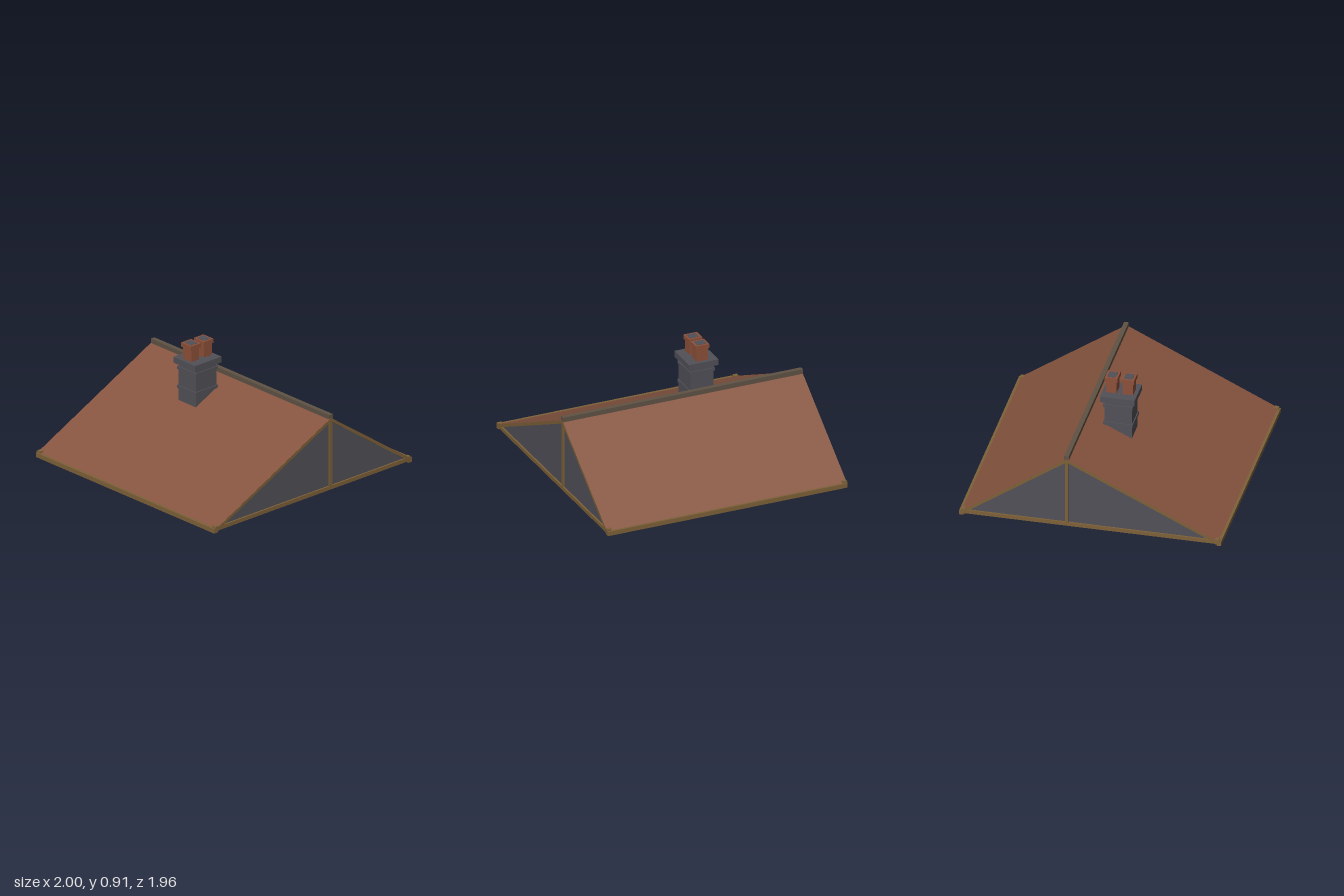
import * as THREE from 'three';

const mat = (name, color) => Object.assign(new THREE.MeshStandardMaterial({ color }), { name });

export function createModel() {
  const root = new THREE.Group();
  root.name = 'gableRoof';
  const tile = mat('roof tile red', 0x86543f);
  const slate = mat('slate grey', 0x515057);
  const timber = mat('timber brown', 0x7d6038);
  const ridge = mat('ridge brown', 0x5f5244);
  const clay = mat('clay pot red', 0x8c5039);
  tile.side = slate.side = THREE.DoubleSide;

  const add = (name, geometry, material) => {
    const mesh = new THREE.Mesh(geometry, material);
    mesh.name = name;
    root.add(mesh);
    return mesh;
  };
  // Box given by its minimum and maximum on each axis
  const box = (name, material, x0, x1, y0, y1, z0, z1) => {
    const m = add(name, new THREE.BoxGeometry(x1 - x0, y1 - y0, z1 - z0), material);
    m.position.set((x0 + x1) / 2, (y0 + y1) / 2, (z0 + z1) / 2);
    return m;
  };
  // Polygon in the xy plane, extruded between z0 and z1
  const prism = (name, material, points, z0, z1) => {
    const shape = new THREE.Shape(points.map(([x, y]) => new THREE.Vector2(x, y)));
    const g = new THREE.ExtrudeGeometry(shape, { depth: z1 - z0, bevelEnabled: false });
    add(name, g.translate(0, 0, z0), material);
  };

  const apex = 0.18, top = 0.594, eave = 0.985, low = 0.032;

  // Thin tiled slopes
  for (const [name, x] of [['rightSlope', -eave], ['leftSlope', eave]]) {
    const pts = [[x, low], [apex, top], [apex, top - 0.005], [x, low - 0.005]];
    prism(name, tile, x < 0 ? pts.reverse() : pts, -0.98, 0.98);
  }
  box('ridgeCap', ridge, 0.162, 0.198, 0.583, 0.62, -0.98, 0.98);

  // Eave rails
  for (const s of [-1, 1]) {
    const [a, b] = s < 0 ? [-1, -0.965] : [0.965, 1];
    box('eaveRail', timber, a, b, 0, 0.035, -0.98, 0.98);
  }

  // Gable ends: infill panel, tie beam, king post and rafters
  for (const s of [-1, 1]) {
    const z0 = s < 0 ? -0.981 : 0.946, z1 = z0 + 0.035;
    prism('gablePanel', slate, [[-0.95, 0.03], [0.95, 0.03], [apex, 0.575]], s * 0.965 - 0.003, s * 0.965 + 0.003);
    box('tieBeam', timber, -0.99, 0.99, 0.015, 0.045, z0, z1);
    box('kingPost', timber, 0.166, 0.192, 0.03, 0.575, z0, z1);
    for (const x of [-eave, eave]) {
      const drop = 0.028;
      const pts = [[x, low - 0.001], [apex, top - 0.001], [apex, top - drop], [x * 0.985, low - drop + 0.01]];
      prism('rafter', timber, pts, z0, z1);
    }
    // Rafter feet standing just proud of the tiles
    for (const x of [-0.97, 0.97]) {
      box('rafterFoot', timber, x - 0.015, x + 0.015, 0.01, 0.05, s * 0.962 - 0.018, s * 0.962 + 0.018);
    }
  }

  // Chimney stack, running down through the slope
  box('chimneyStack', slate, -0.165, 0.045, 0.2, 0.74, -0.32, -0.13);
  for (const [y0, y1] of [[0.385, 0.41], [0.525, 0.55], [0.68, 0.703]]) {
    box('chimneyBand', slate, -0.173, 0.053, y0, y1, -0.328, -0.122);
  }
  box('chimneyCrown', slate, -0.193, 0.073, 0.73, 0.777, -0.347, -0.107);

  // Square pots with dark flue openings
  for (const x of [-0.124, 0.003]) {
    const z = -0.227;
    box('chimneyPot', clay, x - 0.04, x + 0.04, 0.777, 0.88, z - 0.046, z + 0.046);
    box('potRim', clay, x - 0.049, x + 0.049, 0.874, 0.908, z - 0.055, z + 0.055);
    box('flueOpening', slate, x - 0.033, x + 0.033, 0.905, 0.91, z - 0.038, z + 0.038);
  }
  return root;
}
